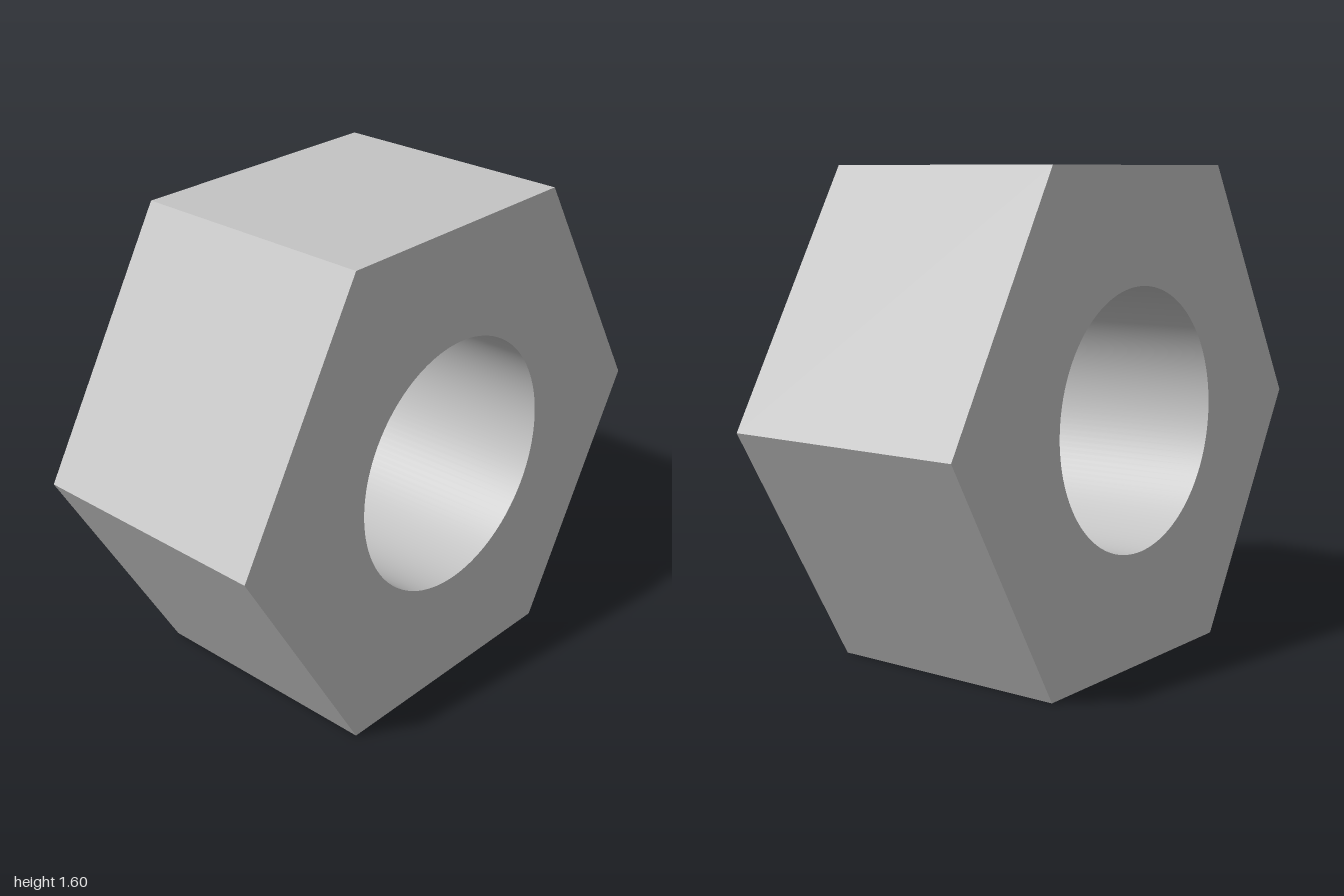
import * as THREE from 'three';
import { toCreasedNormals } from 'three/addons/utils/BufferGeometryUtils.js';

const CORNER_RADIUS = 0.926; // centre to hexagon corner
const BORE_RADIUS = 0.427;
const THICKNESS = 0.844;

export function createModel() {
  const model = new THREE.Group();
  model.name = 'hexNut';

  const steel = new THREE.MeshStandardMaterial({ color: 0xc4c4c4 });
  steel.name = 'light grey steel';

  // Hexagon with flats at top and bottom, pierced by a round bore
  const hexagon = new THREE.Shape(
    Array.from({ length: 6 }, (_, i) => {
      const a = (i * Math.PI) / 3;
      return new THREE.Vector2(Math.cos(a), Math.sin(a)).multiplyScalar(CORNER_RADIUS);
    })
  );
  hexagon.holes.push(new THREE.Path().absarc(0, 0, BORE_RADIUS, 0, Math.PI * 2, true));

  const extruded = new THREE.ExtrudeGeometry(hexagon, {
    depth: THICKNESS,
    bevelEnabled: false,
    curveSegments: 64,
  });
  extruded.translate(0, 0, -THICKNESS / 2);

  // Smooth bore, sharp hexagon edges
  const nut = new THREE.Mesh(toCreasedNormals(extruded, 0.5), steel);
  nut.name = 'nutBody';
  nut.position.y = CORNER_RADIUS * Math.sin(Math.PI / 3);
  nut.rotation.y = Math.atan2(0.82, 0.2); // bore axis turned mostly towards +x
  model.add(nut);

  return model;
}
